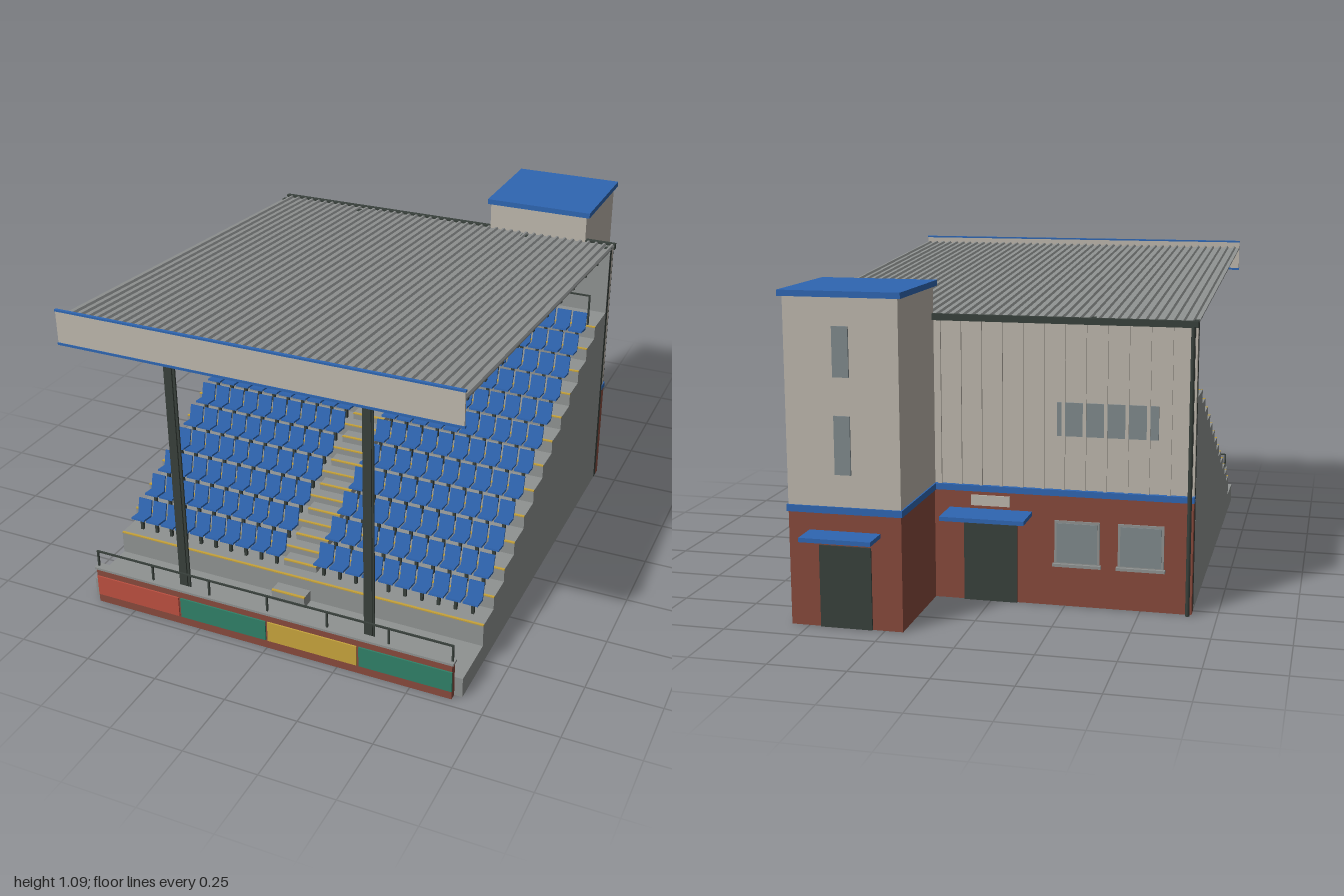
import * as THREE from 'three';
import { mergeGeometries } from 'three/addons/utils/BufferGeometryUtils.js';

const mat = (name, color, side = THREE.FrontSide) => {
  const m = new THREE.MeshStandardMaterial({ color, side });
  m.name = name;
  return m;
};

// Box geometry from its limits
const box = (x0, x1, y0, y1, z0, z1) =>
  new THREE.BoxGeometry(x1 - x0, y1 - y0, z1 - z0).translate((x0 + x1) / 2, (y0 + y1) / 2, (z0 + z1) / 2);

// Square bar in the plane x, between two [z, y] points
const bar = (x, [z0, y0], [z1, y1], w, h = w) =>
  new THREE.BoxGeometry(w, h, Math.hypot(z1 - z0, y1 - y0))
    .rotateX(-Math.atan2(y1 - y0, z1 - z0)).translate(x, (y0 + y1) / 2, (z0 + z1) / 2);

const range = (n, f) => Array.from({ length: n }, (_, i) => f(i));

export function createModel() {
  const concrete = mat('concrete grey', 0x8f9291);
  const blue = mat('blue', 0x2f66b2);
  const brick = mat('brick', 0x87493c);
  const cream = mat('cream cladding', 0xbcb6ac);
  const steel = mat('dark steel', 0x38403b);
  const red = mat('red', 0xbb4f40);
  const green = mat('green', 0x308068);
  const yellow = mat('yellow', 0xc6a33c);
  const glass = mat('window grey', 0x7f898c);

  const model = new THREE.Group();
  const add = (name, material, ...geos) => {
    const mesh = new THREE.Mesh(geos.length > 1 ? mergeGeometries(geos) : geos[0], material);
    mesh.name = name;
    model.add(mesh);
    return mesh;
  };

  const W = 0.667, LEVELS = 13, RUN = 0.0932, RISE = 0.0463;
  const stepZ = i => 0.77 - i * RUN;
  const stepY = i => 0.15 + i * RISE;
  const roofY = z => 1.07 - (1 - z) * 0.0734;

  // Stepped terrace, one side profile extruded across the width
  const profile = [[-0.49, 0], [0.947, 0], [0.947, 0.07]];
  for (let i = 0; i < LEVELS; i++) {
    profile.push([stepZ(i), i ? stepY(i - 1) : 0.07], [stepZ(i), stepY(i)]);
  }
  profile.push([-0.49, stepY(LEVELS - 1)]);
  const terrace = add('terrace', concrete, new THREE.ExtrudeGeometry(
    new THREE.Shape(profile.map(p => new THREE.Vector2(...p))), { depth: 2 * W, bevelEnabled: false }));
  terrace.rotation.y = -Math.PI / 2;
  terrace.position.x = W;

  // Aisle half steps and yellow edges
  const halfY = i => (i ? stepY(i) - RISE / 2 : 0.11);
  add('aisleSteps', concrete, ...range(LEVELS, i =>
    box(-0.06, 0.06, i ? stepY(i - 1) - 0.005 : 0.06, halfY(i), stepZ(i) - 0.005, stepZ(i) + RUN / 2)));
  add('stepEdges', yellow,
    ...range(LEVELS, i => box(-W, W, stepY(i) - 0.003, stepY(i) + 0.001, stepZ(i) - 0.007, stepZ(i) + 0.001)),
    ...range(LEVELS, i => box(-0.06, 0.06, halfY(i) - 0.003, halfY(i) + 0.001,
      stepZ(i) + RUN / 2 - 0.008, stepZ(i) + RUN / 2 + 0.001)));

  // Seats: two blocks of ten across, twelve rows
  const shells = [], legs = [];
  for (let row = 0; row < LEVELS - 1; row++) {
    const y = stepY(row), z = stepZ(row);
    for (const side of [-1, 1]) for (let k = 0; k < 10; k++) {
      const x = side * (0.0875 + k * 0.0584);
      shells.push(bar(x, [z - 0.068, y + 0.046], [z - 0.02, y + 0.052], 0.051, 0.007));
      shells.push(bar(x, [z - 0.066, y + 0.05], [z - 0.08, y + 0.103], 0.051, 0.006));
      legs.push(box(x - 0.005, x + 0.005, y, y + 0.046, z - 0.053, z - 0.043));
    }
  }
  add('seats', blue, ...shells);
  add('seatLegs', steel, ...legs);

  // Front wall with coloured boards
  add('frontWall', brick, box(-0.64, 0.64, 0, 0.13, 0.947, 0.97));
  add('frontWallCap', concrete, box(-0.645, 0.645, 0.13, 0.138, 0.944, 0.974));
  [red, green, yellow, green].forEach((m, i) => {
    const x = -0.48 + i * 0.3215;
    add('frontBoard', m, box(x - 0.157, x + 0.157, 0.032, 0.105, 0.969, 0.975));
  });

  // Railings: posts, top rail and middle rail
  const railing = (name, n, y0, y1, z) => add(name, steel,
    ...range(n, i => {
      const x = -0.637 + i * 1.274 / (n - 1);
      return box(x - 0.003, x + 0.003, y0, y1, z - 0.003, z + 0.003);
    }),
    box(-0.64, 0.64, y1 - 0.005, y1, z - 0.003, z + 0.003));
  railing('frontRailing', 7, 0.135, 0.197, 0.958);
  railing('backRailing', 6, 0.7, 0.823, -0.357);

  // Columns of I section, and roof trusses
  for (const x of [-0.335, 0.335]) {
    const z = 0.905, top = roofY(z) - 0.025;
    add('frontColumn', steel,
      box(x - 0.014, x + 0.014, 0.07, top, z + 0.006, z + 0.012),
      box(x - 0.014, x + 0.014, 0.07, top, z - 0.012, z - 0.006),
      box(x - 0.004, x + 0.004, 0.07, top, z - 0.006, z + 0.006));
    add('columnBase', concrete, box(x - 0.025, x + 0.025, 0.07, 0.083, z - 0.025, z + 0.025));
    const topY = t => roofY(t) - 0.031;
    const lowY = t => 0.946 - (0.905 - t) * 0.0415;
    const node = i => 0.9 - i * 1.39 / 12;
    add('roofTruss', steel,
      bar(x, [-0.49, topY(-0.49)], [0.98, topY(0.98)], 0.018, 0.014),
      bar(x, [-0.49, lowY(-0.49)], [0.9, lowY(0.9)], 0.018, 0.012),
      ...range(12, i => {
        const pt = j => [node(j), j % 2 ? topY(node(j)) : lowY(node(j))];
        return bar(x, pt(i), pt(i + 1), 0.008);
      }));
  }
  add('backColumns', steel, ...[-0.655, -0.335, 0.335, 0.655].map(x =>
    box(x - 0.012, x + 0.012, 0, 0.955, -0.514, -0.4905)));
  add('purlins', steel, ...range(11, i => {
    const z = 0.95 - i * 0.145;
    return box(-0.66, 0.66, roofY(z) - 0.028, roofY(z) - 0.011, z - 0.007, z + 0.007);
  }));

  // Corrugated roof: ribbed section extruded along the slope
  const RIBS = 45, pitch = 2 * 0.668 / RIBS, roof = [];
  for (let i = 0; i < RIBS; i++) {
    [[0, -0.007], [0.45, -0.007], [0.6, 0], [0.85, 0]].forEach(([u, y]) =>
      roof.push(new THREE.Vector2(-0.668 + (i + u) * pitch, y)));
  }
  roof.push(new THREE.Vector2(0.668, -0.007), new THREE.Vector2(0.668, -0.012), new THREE.Vector2(-0.668, -0.012));
  const sheet = add('roofSheet', concrete,
    new THREE.ExtrudeGeometry(new THREE.Shape(roof), { depth: 1.54, bevelEnabled: false }));
  sheet.rotation.x = -Math.atan(0.0734);
  sheet.position.set(0, roofY(-0.545), -0.545);

  // Front fascia with blue trims
  add('fascia', cream, box(-0.668, 0.668, 0.979, 1.086, 0.992, 0.998));
  add('fasciaTrim', blue, box(-0.67, 0.67, 1.085, 1.091, 0.99, 1), box(-0.67, 0.67, 0.972, 0.98, 0.99, 1));

  // Back wall: inner face, brick base, band, ribbed cladding
  add('innerWall', concrete, box(-W, W, 0.69, 0.945, -0.4905, -0.486));
  add('backCladding', cream, box(-W, W, 0.385, 0.945, -0.533, -0.514),
    ...range(20, i => box(-0.661 + i * 0.069, -0.65 + i * 0.069, 0.39, 0.945, -0.541, -0.533)));
  add('backBrick', brick, box(-W, W, 0, 0.375, -0.543, -0.514));
  add('backBand', blue, box(-W - 0.002, W + 0.002, 0.372, 0.392, -0.548, -0.514));
  add('gutter', steel, box(-0.67, 0.67, 0.936, 0.957, -0.557, -0.538));
  add('downpipes', steel, ...[-0.655, 0.655].map(x =>
    new THREE.CylinderGeometry(0.007, 0.007, 0.94, 8).translate(x, 0.47, -0.556)));
  add('highWindow', glass, box(-0.55, -0.22, 0.57, 0.68, -0.538, -0.532));

  // Ground floor windows with frames and sills
  for (const x of [-0.5, -0.29]) {
    add('windowFrame', concrete, box(x - 0.075, x + 0.075, 0.14, 0.29, -0.548, -0.543),
      box(x - 0.08, x + 0.08, 0.136, 0.146, -0.558, -0.543));
    add('windowPane', glass, box(x - 0.067, x + 0.067, 0.15, 0.282, -0.551, -0.547));
  }

  // Main door, canopy and small panel above
  add('backDoor', steel, box(-0.09, 0.09, 0, 0.265, -0.55, -0.542));
  add('backCanopy', blue, box(-0.14, 0.14, 0.3, 0.314, -0.672, -0.54));
  add('doorPanel', cream, box(-0.065, 0.065, 0.325, 0.36, -0.549, -0.542));

  // Stair tower
  const tx = 0.375;
  add('towerBrick', brick, box(tx - 0.184, tx + 0.184, 0, 0.375, -0.904, -0.54));
  add('towerBand', blue, box(tx - 0.189, tx + 0.189, 0.37, 0.392, -0.909, -0.54));
  add('towerWalls', cream, box(tx - 0.184, tx + 0.184, 0.385, 1.05, -0.904, -0.535));
  add('towerRoof', blue, box(tx - 0.196, tx + 0.196, 1.045, 1.064, -0.916, -0.53));
  add('towerWindows', glass, ...[[0.495, 0.68], [0.8, 0.957]].map(([a, b]) =>
    box(tx - 0.026, tx + 0.026, a, b, -0.91, -0.903)));
  add('towerDoor', steel, box(tx - 0.085, tx + 0.085, 0, 0.267, -0.91, -0.903));
  add('towerCanopy', blue, box(tx - 0.116, tx + 0.116, 0.3, 0.314, -1, -0.903));

  return model;
}
